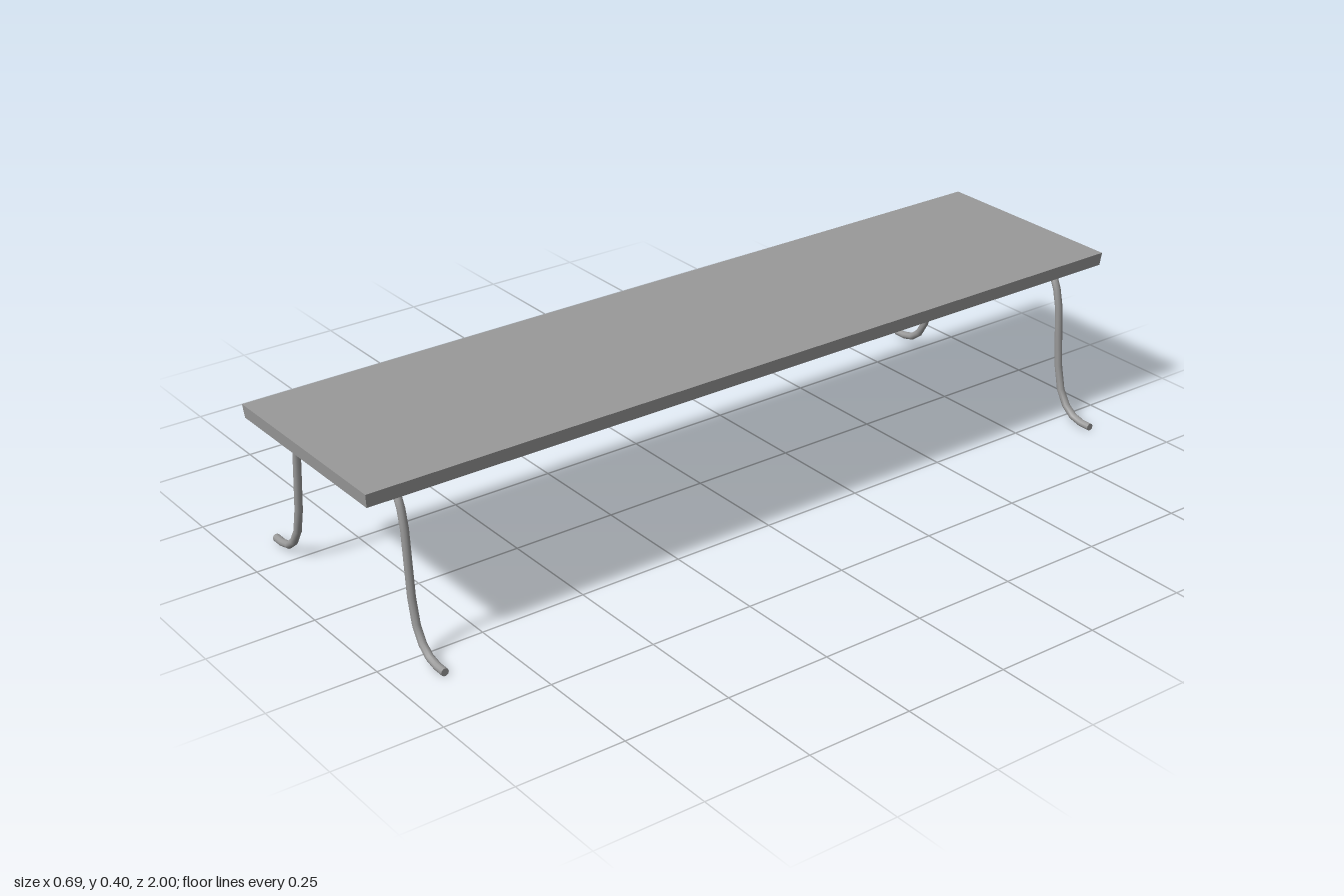
import * as THREE from 'three';

const material = new THREE.MeshStandardMaterial({ color: 0x999999, side: THREE.DoubleSide });

// Curve that steps exactly through its points, one tube ring per point
class BentRod extends THREE.Curve {
  constructor(points) {
    super();
    this.points = points;
  }
  getPoint(t, target = new THREE.Vector3()) {
    const n = this.points.length - 1;
    const s = THREE.MathUtils.clamp(t, 0, 1) * n;
    const i = Math.min(Math.floor(s), n - 1);
    return target.lerpVectors(this.points[i], this.points[i + 1], s - i);
  }
  getPointAt(t, target) { return this.getPoint(t, target); }
  getTangentAt(t, target) { return this.getTangent(t, target); }
}

// Top panel with a thin, slightly tapered skirt, open underneath
function createTop() {
  const height = 0.031;
  const geometry = new THREE.BoxGeometry(0.5, height, 2);
  const index = Array.from(geometry.index.array);
  index.splice(18, 6); // drop the underside
  geometry.setIndex(index);
  geometry.clearGroups();
  const pos = geometry.attributes.position;
  for (let i = 0; i < pos.count; i++) {
    if (pos.getY(i) < 0) {
      pos.setX(i, Math.sign(pos.getX(i)) * 0.247);
      pos.setZ(i, Math.sign(pos.getZ(i)) * 0.997);
    }
  }
  geometry.computeVertexNormals();
  const top = new THREE.Mesh(geometry, material);
  top.name = 'tableTop';
  top.position.y = 0.4 - height / 2;
  return top;
}

// One bent rod: splayed foot, leg, crossbar, leg, splayed foot
function createLegs(name, z) {
  const radius = 0.009;
  const half = [
    [0.346, 0.009], [0.318, 0.009], [0.289, 0.016], [0.264, 0.035], [0.243, 0.07],
    [0.23, 0.128], [0.224, 0.2], [0.218, 0.277], [0.208, 0.32], [0.196, 0.345],
    [0.178, 0.361], [0.154, 0.368],
  ];
  const points = [
    ...half.map(([x, y]) => new THREE.Vector3(x, y, 0)),
    ...half.slice().reverse().map(([x, y]) => new THREE.Vector3(-x, y, 0)),
  ];
  const legs = new THREE.Group();
  legs.name = name;
  const rod = new THREE.Mesh(
    new THREE.TubeGeometry(new BentRod(points), points.length - 1, radius, 10), material);
  rod.name = 'bentRod';
  legs.add(rod);

  // Closed rod ends
  for (const side of [1, -1]) {
    const cap = new THREE.Mesh(new THREE.CircleGeometry(radius, 10), material);
    cap.name = side > 0 ? 'leftFootEnd' : 'rightFootEnd';
    cap.position.set(side * half[0][0], half[0][1], 0);
    cap.rotation.y = side * Math.PI / 2;
    legs.add(cap);
  }
  legs.position.z = z;
  return legs;
}

export function createModel() {
  const model = new THREE.Group();
  model.name = 'table';
  model.add(createTop(), createLegs('frontLegs', 0.9), createLegs('backLegs', -0.9));
  return model;
}
